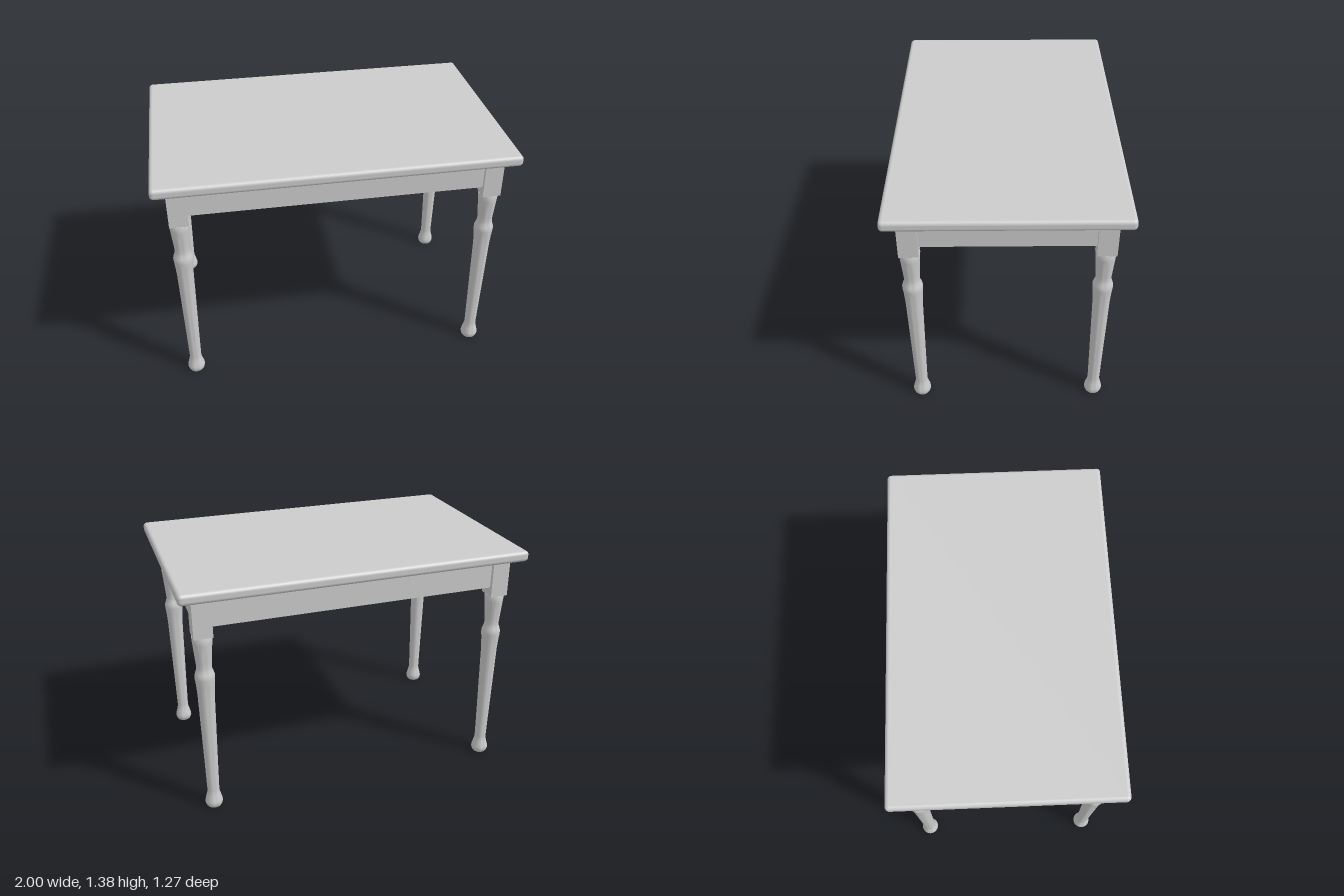
import * as THREE from 'three';
import { RoundedBoxGeometry } from 'three/addons/geometries/RoundedBoxGeometry.js';
import { toCreasedNormals } from 'three/addons/utils/BufferGeometryUtils.js';

const material = new THREE.MeshStandardMaterial({ color: 0xcccccc });

const LEG_X = 0.872, LEG_Z = 0.509; // leg centres
const POST = 0.105;                 // square post width
const POST_BOTTOM = 1.095, APRON_BOTTOM = 1.15, TOP_BOTTOM = 1.32, TOP = 1.382;
const SETBACK = 0.02, APRON_THICK = 0.035;

function add(parent, name, geometry, x, y, z) {
  const mesh = new THREE.Mesh(geometry, material);
  mesh.name = name;
  mesh.position.set(x, y, z);
  parent.add(mesh);
  return mesh;
}

// Turned leg: bulbous foot, long taper, ring bulge, waist and flared head
function turnedLegGeometry() {
  const profile = [
    [0, 0], [0.041, 0], [0.046, 0.008], [0.051, 0.025], [0.049, 0.04],
    [0.041, 0.07], [0.035, 0.095], [0.0345, 0.11], [0.038, 0.3], [0.043, 0.54],
    [0.047, 0.74], [0.051, 0.8], [0.055, 0.84], [0.0555, 0.857], [0.051, 0.873],
    [0.044, 0.893], [0.042, 0.91], [0.044, 0.94], [0.049, 1.0], [0.053, 1.05],
    [0.0565, POST_BOTTOM - 0.004], [0.055, POST_BOTTOM], [0, POST_BOTTOM],
  ].map(([r, y]) => new THREE.Vector2(r, y));
  return toCreasedNormals(new THREE.LatheGeometry(profile, 32), 0.7);
}

export function createModel() {
  const table = new THREE.Group();
  table.name = 'table';

  // Top board with rounded edges
  add(table, 'tabletop', new RoundedBoxGeometry(2, TOP - TOP_BOTTOM, 1.27, 4, 0.022),
    0, (TOP + TOP_BOTTOM) / 2, 0);

  // Four legs, each a square post over a turned shaft
  const postHeight = TOP_BOTTOM - POST_BOTTOM + 0.002;
  const postGeometry = new THREE.BoxGeometry(POST, postHeight, POST);
  const shaftGeometry = turnedLegGeometry();
  for (const sx of [-1, 1]) {
    for (const sz of [-1, 1]) {
      const leg = new THREE.Group();
      leg.name = `${sz > 0 ? 'front' : 'back'}${sx > 0 ? 'Left' : 'Right'}Leg`;
      leg.position.set(sx * LEG_X, 0, sz * LEG_Z);
      add(leg, 'legPost', postGeometry, 0, POST_BOTTOM + postHeight / 2, 0);
      add(leg, 'turnedShaft', shaftGeometry, 0, 0, 0);
      table.add(leg);
    }
  }

  // Apron rails between the posts, set back from their outer faces
  const apronHeight = TOP_BOTTOM - APRON_BOTTOM + 0.002;
  const apronY = APRON_BOTTOM + apronHeight / 2;
  const inset = POST / 2 - SETBACK - APRON_THICK / 2;
  const longRail = new THREE.BoxGeometry(2 * LEG_X - POST, apronHeight, APRON_THICK);
  const shortRail = new THREE.BoxGeometry(APRON_THICK, apronHeight, 2 * LEG_Z - POST);
  for (const s of [-1, 1]) {
    add(table, s > 0 ? 'frontApron' : 'backApron', longRail, 0, apronY, s * (LEG_Z + inset));
    add(table, s > 0 ? 'leftApron' : 'rightApron', shortRail, s * (LEG_X + inset), apronY, 0);
  }

  return table;
}
